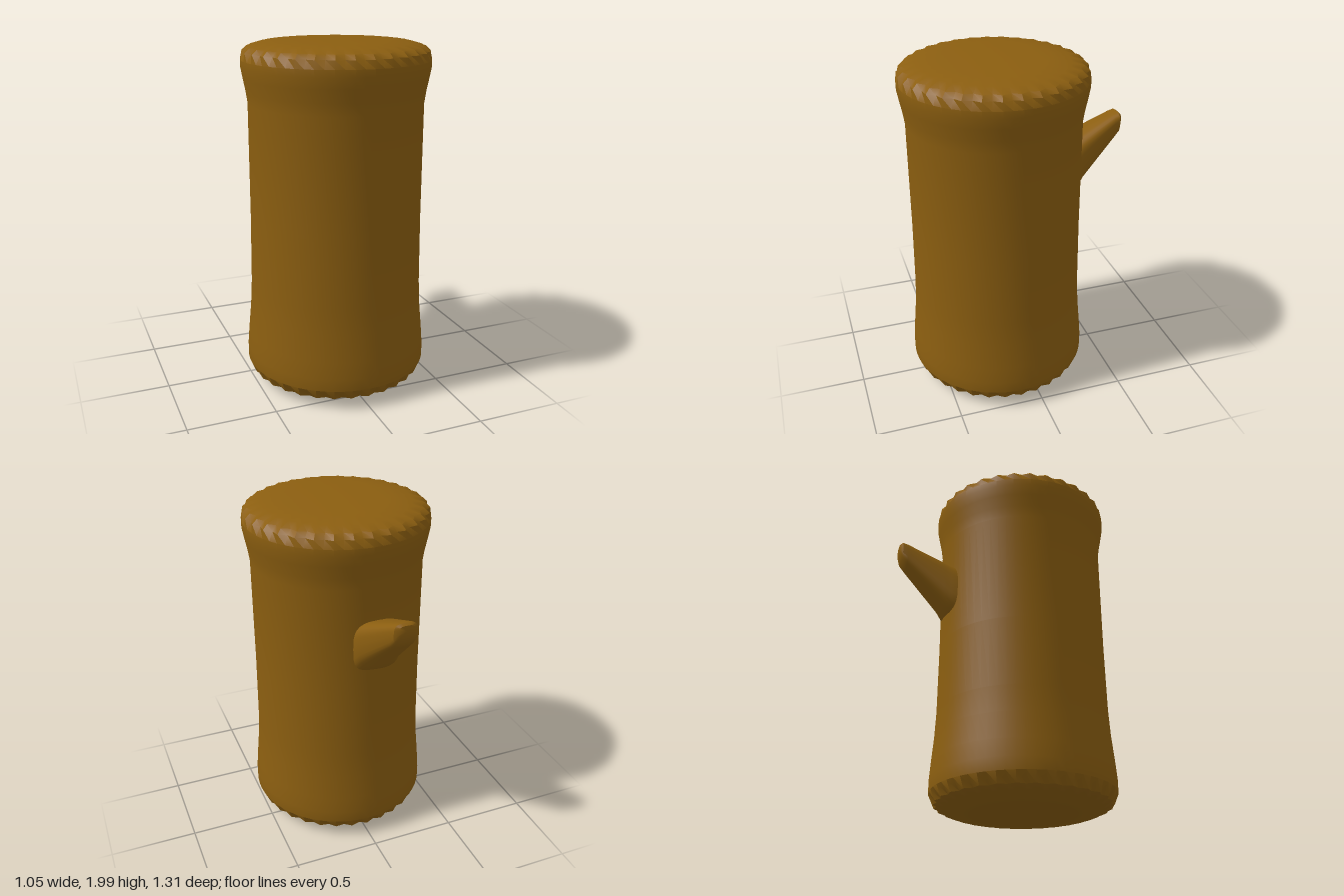
import * as THREE from 'three';
import { toCreasedNormals } from 'three/addons/utils/BufferGeometryUtils.js';

const bark = new THREE.MeshStandardMaterial({ color: 0x8b5e10 });

// Log trunk: lathed profile, pinched between 32 scallops around both rims
function trunkGeometry() {
  const profile = [
    [0, 0.01], [0.3, 0.025], [0.44, 0.045], [0.5, 0.07], [0.525, 0.13], [0.525, 0.2],
    [0.517, 0.3], [0.503, 0.45], [0.495, 0.6], [0.49, 1], [0.49, 1.65], [0.5, 1.72],
    [0.514, 1.79], [0.525, 1.85], [0.525, 1.89], [0.518, 1.935], [0.49, 1.96],
    [0.42, 1.98], [0.3, 1.99], [0, 2],
  ].map(([r, y]) => new THREE.Vector2(r, y));
  const pinchRows = { 2: 0.99, 3: 0.96, 15: 0.965, 16: 0.96, 17: 0.985 };
  const segments = 64;
  const geo = new THREE.LatheGeometry(profile, segments);
  const pos = geo.attributes.position;
  for (let s = 1; s < segments; s += 2) {
    for (const [row, k] of Object.entries(pinchRows)) {
      const i = s * profile.length + Number(row);
      pos.setX(i, pos.getX(i) * k);
      pos.setZ(i, pos.getZ(i) * k);
    }
  }
  return toCreasedNormals(geo, 0.45);
}

// Branch stub: rounded rectangular sections [z, x0, x1, y0, y1] swept backwards
function branchGeometry() {
  const sections = [
    [-0.29, -0.2, 0.11, 1.12, 1.43], [-0.355, -0.188, 0.092, 1.15, 1.455],
    [-0.39, -0.177, 0.077, 1.2, 1.472], [-0.61, -0.148, 0.002, 1.415, 1.56],
    [-0.64, -0.14, -0.005, 1.45, 1.57], [-0.655, -0.115, -0.028, 1.495, 1.56],
    [-0.657, -0.07, -0.07, 1.53, 1.53],
  ];
  const n = 28;
  const round = (v) => Math.sign(v) * Math.abs(v) ** 0.6;
  const points = [], index = [];
  sections.forEach(([z, x0, x1, y0, y1], i) => {
    for (let j = 0; j < n; j++) {
      const a = (j / n) * Math.PI * 2;
      points.push(
        (x0 + x1) / 2 + round(Math.cos(a)) * (x1 - x0) / 2,
        (y0 + y1) / 2 + round(Math.sin(a)) * (y1 - y0) / 2,
        z);
      if (i === sections.length - 1) continue;
      const p = i * n + j, q = i * n + (j + 1) % n;
      index.push(p, p + n, q, q, p + n, q + n);
    }
  });
  const geo = new THREE.BufferGeometry();
  geo.setAttribute('position', new THREE.Float32BufferAttribute(points, 3));
  geo.setIndex(index);
  return toCreasedNormals(geo, 0.7);
}

export function createModel() {
  const group = new THREE.Group();
  group.name = 'log';

  const trunk = new THREE.Mesh(trunkGeometry(), bark);
  trunk.name = 'trunk';
  trunk.position.z = 0.13;

  const branch = new THREE.Mesh(branchGeometry(), bark);
  branch.name = 'branchStub';

  group.add(trunk, branch);
  return group;
}
